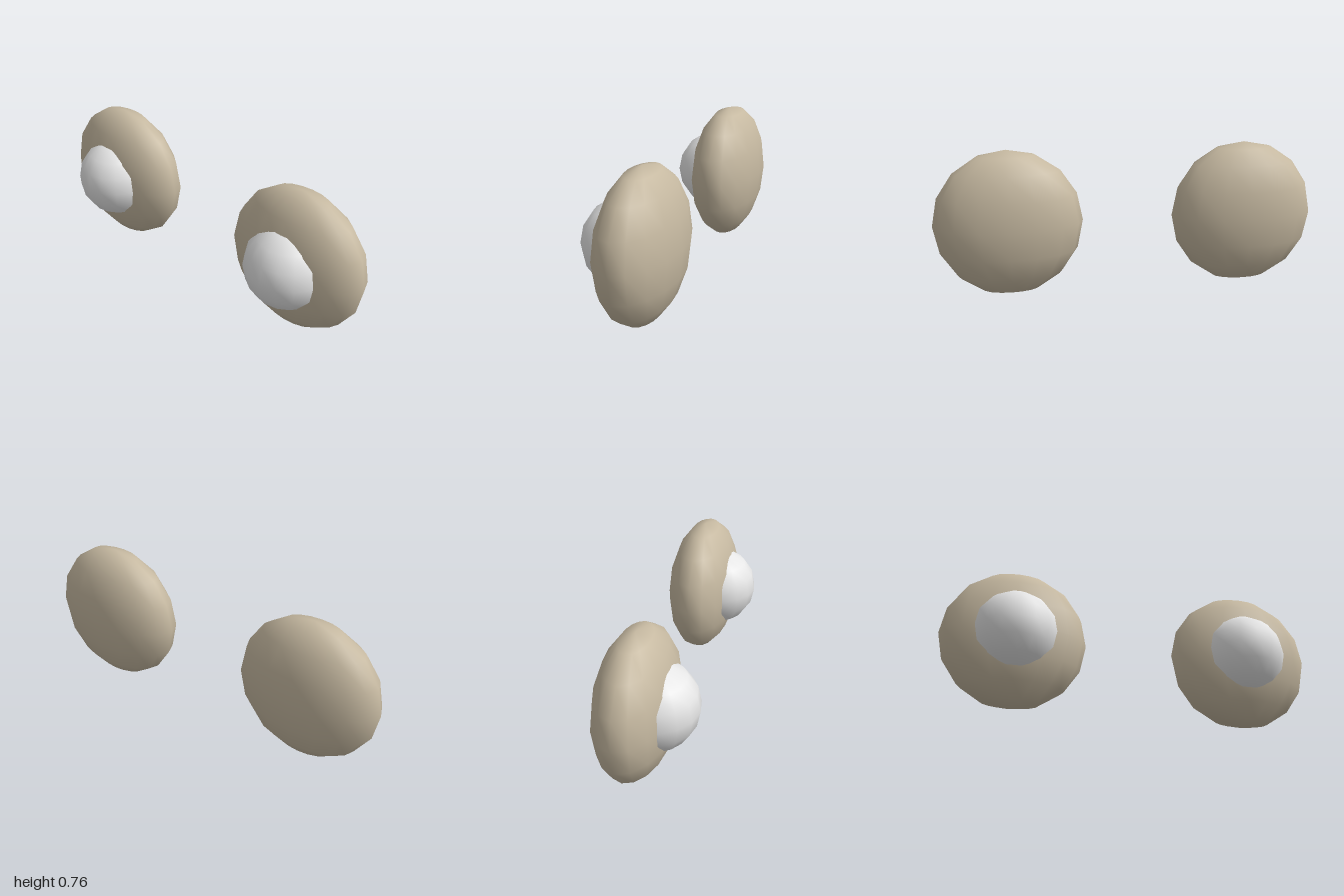
import * as THREE from 'three';

export function createModel() {
  const tan = new THREE.MeshStandardMaterial({ color: 0xc6b9a1 });
  tan.name = 'tan';
  const white = new THREE.MeshStandardMaterial({ color: 0xe6e6e6 });
  white.name = 'white';

  // Sixteen-sided smooth ball, squashed along z by depth / radius
  const ball = (name, radius, depth, z, material) => {
    const geometry = new THREE.SphereGeometry(radius, 16, 8);
    geometry.scale(1, 1, depth / radius);
    const mesh = new THREE.Mesh(geometry, material);
    mesh.name = name;
    mesh.position.z = z;
    return mesh;
  };

  const model = new THREE.Group();
  model.name = 'discPair';

  // Two identical flattened discs, each with a round dome in front
  for (const side of [1, -1]) {
    const unit = new THREE.Group();
    unit.name = side > 0 ? 'leftUnit' : 'rightUnit';
    unit.add(ball('disc', 0.382, 0.19, -0.055, tan));
    unit.add(ball('dome', 0.222, 0.222, 0.023, white));
    unit.position.set(side * 0.618, 0.384, 0);
    model.add(unit);
  }
  return model;
}
